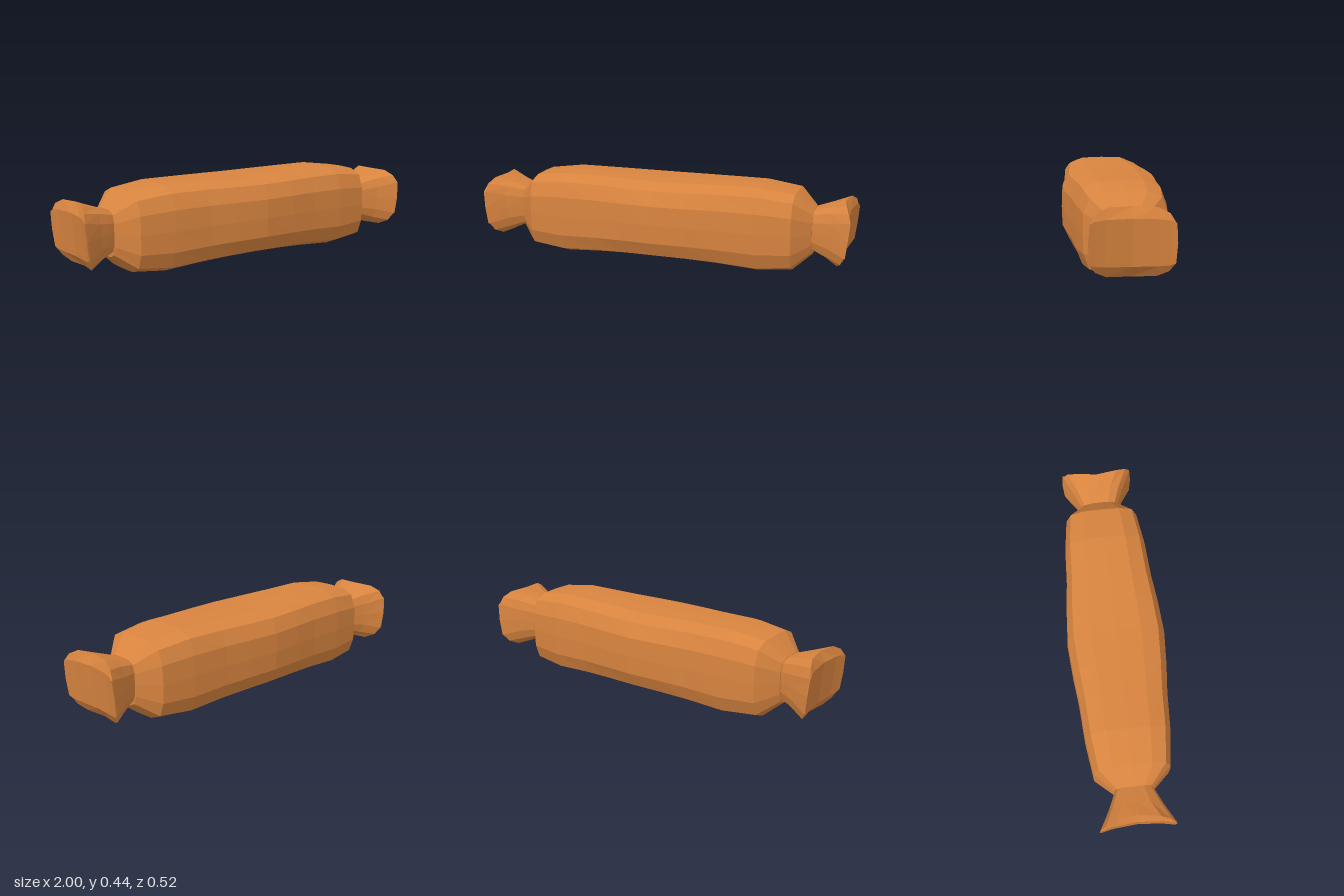
import * as THREE from 'three';

// quarter cross-sections as [z, y] factors, from the top round to the side
const SOFT = [[0, 1], [0.5, 0.985], [0.85, 0.84], [0.985, 0.48], [1, 0]];
const RIM = [[0, 1], [0.57, 0.98], [0.84, 0.82], [0.97, 0.56], [1, 0]];
const MOUTH = [[0, 1], [0.6, 0.98], [0.85, 0.93], [0.97, 0.83], [1, 0]];

// 16-point ring; bow pushes the sides out along x, tilt leans the ring with height
function ring({ x, cy, hy, hz, profile = SOFT, bow = 0, tilt = 0 }) {
  const points = [];
  for (let i = 0; i < 16; i++) {
    const quarter = Math.floor(i / 4), k = i % 4;
    const [z, y] = profile[quarter % 2 ? 4 - k : k];
    const sz = quarter < 2 ? 1 : -1;
    const sy = quarter === 0 || quarter === 3 ? 1 : -1;
    points.push([x + bow * z * z + tilt * sy * y * hy, cy + sy * y * hy, sz * z * hz]);
  }
  return points;
}

// skin a row of rings and close both ends; side = -1 mirrors in x
function loft(sections, material, name, side = 1) {
  const rings = sections.map(ring);
  const positions = [];
  const tri = (a, b, c) => {
    for (const p of side > 0 ? [a, b, c] : [a, c, b]) positions.push(p[0] * side, p[1], p[2]);
  };
  const quad = (a, b, c, d) => { tri(a, b, c); tri(a, c, d); };
  for (let r = 0; r < rings.length - 1; r++) {
    for (let i = 0; i < 16; i++) {
      const j = (i + 1) % 16;
      quad(rings[r][i], rings[r][j], rings[r + 1][j], rings[r + 1][i]);
    }
  }
  // caps made of vertical strips so that a bowed end stays clean
  const first = rings[0], last = rings[rings.length - 1];
  for (let i = -4; i < 4; i++) {
    const ids = [i, i + 1, 7 - i, 8 - i].map((n) => (n + 16) % 16);
    const [a, b, c, d] = ids.map((n) => last[n]);
    quad(a, d, c, b);
    const [e, f, g, h] = ids.map((n) => first[n]);
    quad(e, f, g, h);
  }
  const geometry = new THREE.BufferGeometry();
  geometry.setAttribute('position', new THREE.Float32BufferAttribute(positions, 3));
  geometry.computeVertexNormals();
  const mesh = new THREE.Mesh(geometry, material);
  mesh.name = name;
  return mesh;
}

export function createModel() {
  const group = new THREE.Group();
  group.name = 'sausage';
  const casing = new THREE.MeshStandardMaterial({ color: 0xd8843f, flatShading: true, side: THREE.DoubleSide });
  casing.name = 'casing brown';

  // body: x, bottom, top, half depth for one half, mirrored to the other
  const half = [
    [0, 0.03, 0.438, 0.26],
    [0.18, 0.026, 0.44, 0.248],
    [0.33, 0.018, 0.442, 0.232],
    [0.53, 0.004, 0.443, 0.221],
    [0.71, 0.022, 0.419, 0.198],
    [0.8, 0.1, 0.335, 0.104],
  ].map(([x, y0, y1, hz]) => ({ x, cy: (y0 + y1) / 2, hy: (y1 - y0) / 2, hz }));
  const mirrored = half.slice(1).reverse().map((s) => ({ ...s, x: -s.x }));
  group.add(loft([...mirrored, ...half], casing, 'body'));

  // flared, pinched ends
  const cy = 0.226;
  const tail = [
    { x: 0.78, cy, hy: 0.1, hz: 0.088 },
    { x: 0.81, cy, hy: 0.11, hz: 0.102 },
    { x: 0.875, cy, hy: 0.134, hz: 0.137, bow: 0.012, tilt: 0.04 },
    { x: 0.932, cy, hy: 0.16, hz: 0.193, bow: 0.053, tilt: 0.11, profile: RIM },
    { x: 0.965, cy, hy: 0.108, hz: 0.195, bow: 0.026, tilt: 0.1, profile: MOUTH },
  ];
  group.add(loft(tail, casing, 'leftEnd', 1), loft(tail, casing, 'rightEnd', -1));
  return group;
}
